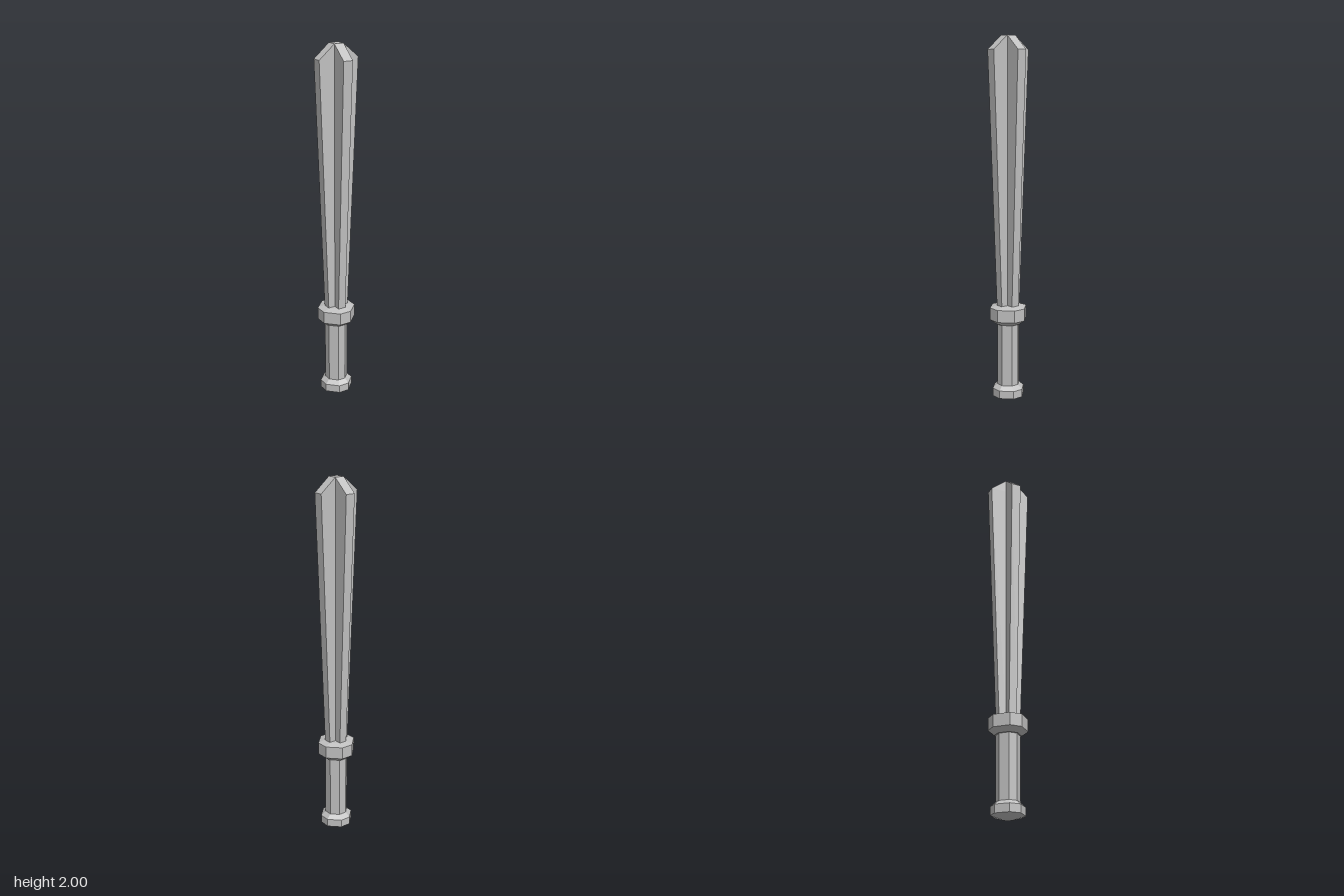
import * as THREE from 'three';

// Repeat a quarter outline of [x, z] points four times around the y axis
function quarterTurns(points) {
  const ring = [];
  let quarter = points;
  for (let i = 0; i < 4; i++) {
    ring.push(...quarter);
    quarter = quarter.map(([x, z]) => [-z, x]);
  }
  return ring;
}

// Octagon with narrow straight sides (half width k) and wide diagonal sides
const octagon = (r, k) => quarterTurns([[r, -k], [r, k]]);
// Four fins of reach r and half width w
const cross = (r, w) => quarterTurns([[r, -w], [r, w], [w, w]]);

// Closed, faceted solid through sections [y, r, w], listed from the bottom up
function loft(section, levels) {
  const rings = levels.map(([y, r, w]) => section(r, w).map(([x, z]) => new THREE.Vector3(x, y, z)));
  const positions = [];
  const tri = (a, b, c) => {
    if (new THREE.Triangle(a, b, c).getArea() < 1e-9) return;
    for (const p of [a, b, c]) positions.push(p.x, p.y, p.z);
  };
  const n = rings[0].length;
  const last = rings.length - 1;
  const bottom = new THREE.Vector3(0, levels[0][0], 0);
  const top = new THREE.Vector3(0, levels[last][0], 0);
  for (let i = 0; i < n; i++) {
    const j = (i + 1) % n;
    for (let k = 0; k < last; k++) {
      tri(rings[k][i], rings[k + 1][i], rings[k + 1][j]);
      tri(rings[k][i], rings[k + 1][j], rings[k][j]);
    }
    tri(bottom, rings[0][i], rings[0][j]);
    tri(top, rings[last][j], rings[last][i]);
  }
  const geometry = new THREE.BufferGeometry();
  geometry.setAttribute('position', new THREE.Float32BufferAttribute(positions, 3));
  geometry.computeVertexNormals();
  return geometry;
}

export function createModel() {
  const group = new THREE.Group();
  group.name = 'mace';
  const steel = new THREE.MeshStandardMaterial({ color: 0xc0c0c0, flatShading: true });
  steel.name = 'steel grey';

  const add = (name, section, levels) => {
    const mesh = new THREE.Mesh(loft(section, levels), steel);
    mesh.name = name;
    group.add(mesh);
  };

  // Pommel with bevelled top and shallow bottom
  add('pommel', octagon, [
    [0, 0.03, 0.01], [0.018, 0.086, 0.03], [0.062, 0.086, 0.03], [0.085, 0.06, 0.022],
  ]);
  // Straight grip
  add('grip', octagon, [[0.07, 0.06, 0.022], [0.45, 0.06, 0.022]]);
  // Guard collar
  add('guard', octagon, [
    [0.435, 0.068, 0.024], [0.46, 0.1, 0.034], [0.528, 0.1, 0.034], [0.54, 0.06, 0.025],
  ]);
  // Four widening fins that slope up to a small square tip
  add('finnedHead', cross, [
    [0.525, 0.061, 0.022], [1.925, 0.116, 0.027], [2, 0.027, 0.027],
  ]);
  return group;
}
